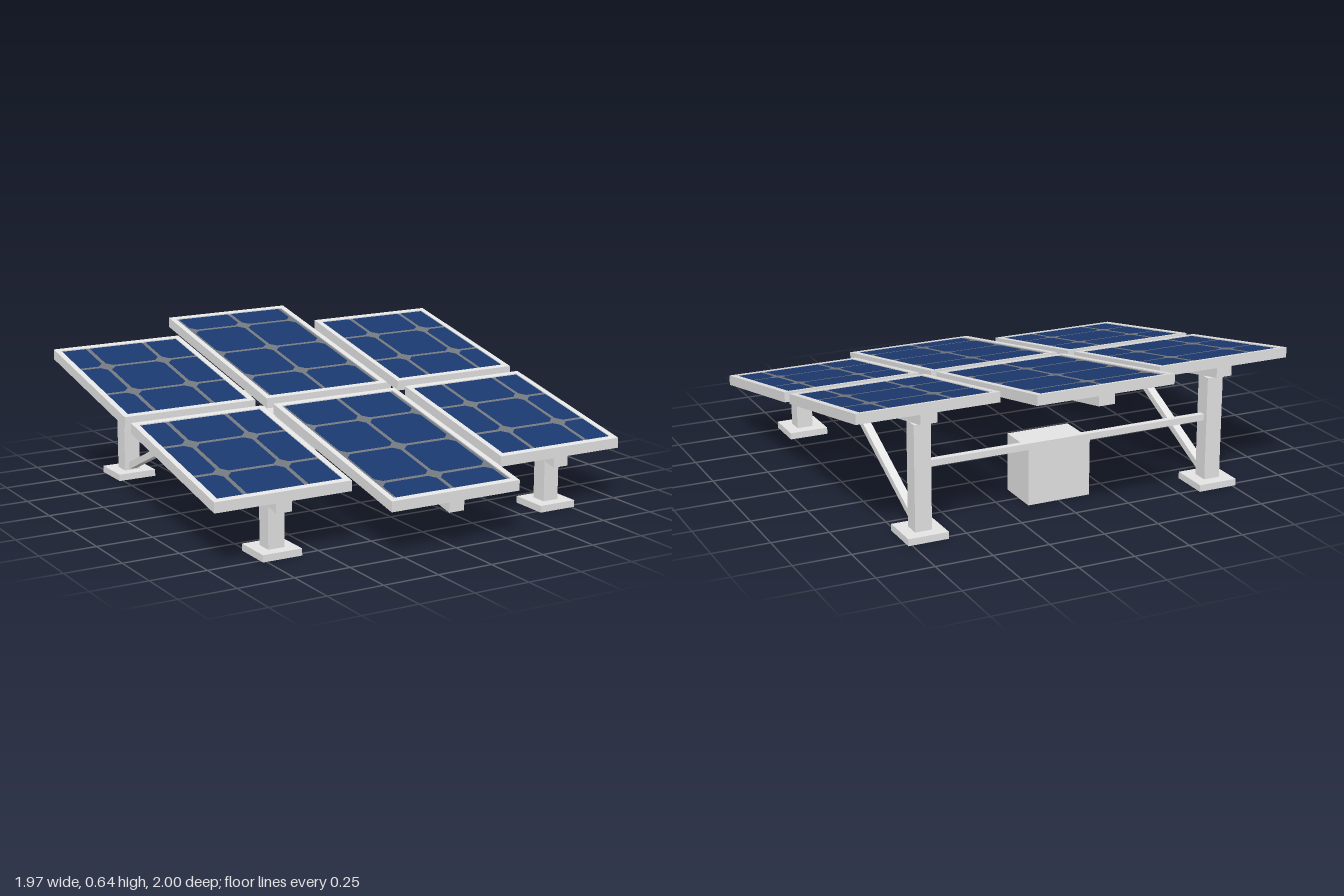
import * as THREE from 'three';
import { mergeGeometries } from 'three/addons/utils/BufferGeometryUtils.js';

const SLOPE = 0.2;      // rise of the array towards the back
const BASE = 0.396;     // height of the panel underside at z = 0
const PITCH = 0.277;    // solar cell spacing
const TILT = new THREE.Matrix4().set(1, 0, 0, 0, 0, 1, -SLOPE, BASE, 0, 0, 1, 0, 0, 0, 0, 1);

const steel = new THREE.MeshStandardMaterial({ color: 0xe5e5e5 });
steel.name = 'light grey metal';
const backing = new THREE.MeshStandardMaterial({ color: 0x74787f });
backing.name = 'grey backing';
const cellBlue = new THREE.MeshStandardMaterial({ color: 0x1b3970 });
cellBlue.name = 'dark blue cell';

const mesh = (name, geo, mat) => {
  const m = new THREE.Mesh(geo, mat);
  m.name = name;
  return m;
};

// Box given by its limits
function box(x0, x1, y0, y1, z0, z1) {
  return new THREE.BoxGeometry(x1 - x0, y1 - y0, z1 - z0)
    .translate((x0 + x1) / 2, (y0 + y1) / 2, (z0 + z1) / 2);
}

// Plan outline from [x, z] points, raised from y0 by h
const outline = (pts) => pts.map(([x, z]) => new THREE.Vector2(x, -z));
const rect = (x0, x1, z0, z1) => outline([[x0, z1], [x1, z1], [x1, z0], [x0, z0]]);
function slab(points, hole, y0, h) {
  const shape = new THREE.Shape(points);
  if (hole) shape.holes.push(new THREE.Path(hole));
  return new THREE.ExtrudeGeometry(shape, { depth: h, bevelEnabled: false })
    .rotateX(-Math.PI / 2).translate(0, y0, 0);
}

// Box hollowed out from below, with walls of thickness w and a lid of thickness t
function shell(x0, x1, y0, y1, z0, z1, w, t) {
  const outer = rect(x0, x1, z0, z1);
  return mergeGeometries([
    slab(outer, rect(x0 + w, x1 - w, z0 + w, z1 - w), y0, y1 - y0 - t),
    slab(outer, null, y1 - t, t),
  ]);
}

// Square cells with cut corners, cropped to the panel opening
function cells(x0, x1, z0, z1) {
  const list = [], a = PITCH / 2 - 0.01, b = a - 0.026;
  const corners = [[b, -a], [a, -b], [a, b], [b, a], [-b, a], [-a, b], [-a, -b], [-b, -a]];
  for (let i = -4; i < 4; i++) for (let j = -4; j < 4; j++) {
    const cx = (i + 0.5) * PITCH, cz = (j + 0.5) * PITCH;
    if (cx + a <= x0 || cx - a >= x1 || cz + a <= z0 || cz - a >= z1) continue;
    const pts = corners
      .map(([x, z]) => [THREE.MathUtils.clamp(cx + x, x0, x1), THREE.MathUtils.clamp(cz + z, z0, z1)])
      .filter((p, k, all) => {
        const q = all[(k + 7) % 8];
        return Math.hypot(p[0] - q[0], p[1] - q[1]) > 1e-5;
      });
    list.push(slab(outline(pts), null, 0.033, 0.008));
  }
  return mergeGeometries(list);
}

// Framed panel, tilted by shearing so its ends stay upright
function panel(name, x0, x1, z0, z1) {
  const g = new THREE.Group(), w = 0.026;
  const inner = [x0 + w, x1 - w, z0 + w, z1 - w];
  g.name = name;
  g.add(mesh('panelFrame', slab(rect(x0, x1, z0, z1), rect(...inner), 0, 0.045).applyMatrix4(TILT), steel));
  g.add(mesh('panelBacking', slab(rect(...inner), null, 0.034, 0.006).applyMatrix4(TILT), backing));
  g.add(mesh('solarCells', cells(...inner).applyMatrix4(TILT), cellBlue));
  return g;
}

// Hollow rail, open at the bottom and closed at both ends
const rail = (x, half) =>
  mesh('rail', shell(x - 0.036, x + 0.036, -0.043, 0, -half, half, 0.014, 0.012).applyMatrix4(TILT), steel);

// Hollow square post on a hollow foot plate
function post(name, x, z, top) {
  const g = new THREE.Group();
  const sq = (r) => rect(x - r, x + r, z - r, z + r);
  g.name = name;
  g.add(mesh('footPlate', slab(sq(0.089), sq(0.036), 0.018, 0.012), steel));
  g.add(mesh('footRim', slab(sq(0.089), sq(0.062), 0, 0.018), steel));
  g.add(mesh('postTube', slab(sq(0.037), sq(0.02), 0, top), steel));
  return g;
}

// Slanted brace from the rear foot up to the middle of the rail
function brace(x) {
  const dz = 0.65, dy = 0.295;
  const geo = new THREE.BoxGeometry(0.036, 0.03, Math.hypot(dz, dy));
  geo.rotateX(-Math.atan2(dy, dz)).translate(x, 0.198, -0.32);
  return mesh('brace', geo, steel);
}

export function createModel() {
  const model = new THREE.Group();
  model.name = 'solarArray';

  // Panels
  for (const s of [1, -1]) {
    const row = s > 0 ? 'front' : 'rear';
    const span = (end) => (s > 0 ? [0.03, end] : [-end, -0.03]);
    model.add(panel(row + 'CentrePanel', -0.309, 0.309, ...span(1)));
    model.add(panel(row + 'LeftPanel', 0.365, 0.985, ...span(0.787)));
    model.add(panel(row + 'RightPanel', -0.985, -0.365, ...span(0.787)));
  }

  // Rails, posts and braces
  model.add(rail(0, 1));
  for (const x of [-0.677, 0.677]) {
    model.add(rail(x, 0.787), post('frontPost', x, 0.685, 0.217), post('rearPost', x, -0.683, 0.489), brace(x));
  }

  // Bar joining the rear posts
  model.add(mesh('crossBar', box(-0.645, 0.645, 0.293, 0.321, -0.699, -0.671), steel));

  // Equipment cabinet, open below, with two small front covers
  const cabinet = new THREE.Group();
  cabinet.name = 'cabinet';
  cabinet.add(mesh('cabinetBody', shell(-0.144, 0.144, 0.002, 0.258, -0.597, -0.395, 0.003, 0.003), steel));
  cabinet.add(mesh('tallCover', box(0.035, 0.108, 0.07, 0.211, -0.396, -0.386), steel));
  cabinet.add(mesh('smallCover', box(-0.108, -0.035, 0.173, 0.211, -0.396, -0.386), steel));
  model.add(cabinet);

  return model;
}
